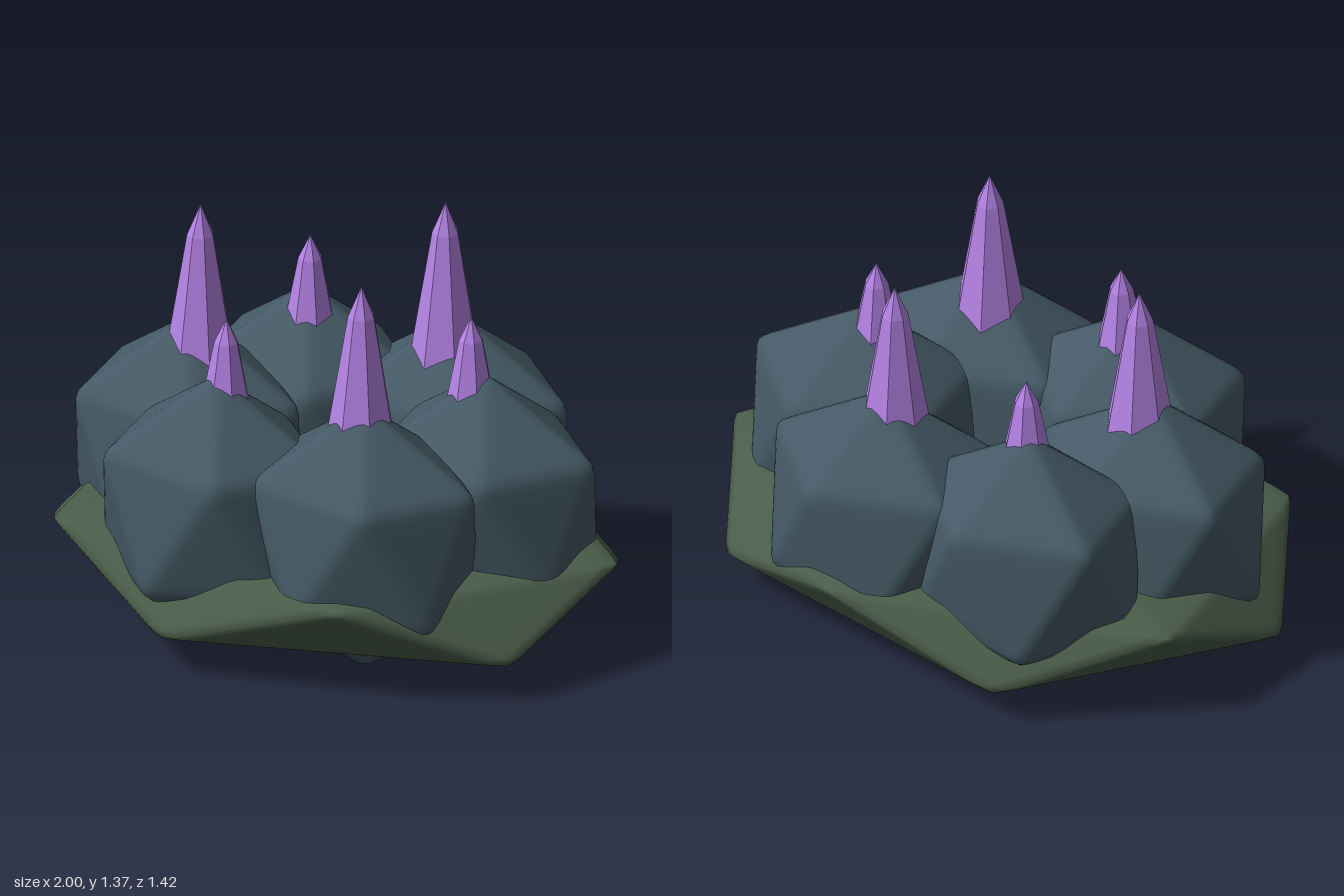
import * as THREE from 'three';
import { mergeVertices } from 'three/addons/utils/BufferGeometryUtils.js';

// Icosahedron standing on one corner, with a corner towards +x in the upper ring
function uprightIcosahedron(detail) {
  const geo = new THREE.IcosahedronGeometry(1, detail);
  geo.rotateZ(-Math.atan(2 / (1 + Math.sqrt(5))));
  return geo;
}

// Directions of the 20 facets
function facetNormals() {
  const pos = uprightIcosahedron(0).attributes.position;
  const normals = [];
  for (let i = 0; i < pos.count; i += 3) {
    const n = new THREE.Vector3();
    for (let k = 0; k < 3; k++) n.add(new THREE.Vector3().fromBufferAttribute(pos, i + k));
    normals.push(n.normalize());
  }
  return normals;
}

// Boulder with soft edges: a higher sharpness gives tighter edges
function boulderGeometry(rx, ry, rz, sharpness) {
  const facets = facetNormals();
  const radius = (dir) => {
    let sum = 0;
    for (const f of facets) sum += Math.pow(Math.max(0, dir.dot(f)), sharpness);
    return Math.pow(sum, -1 / sharpness);
  };
  const source = uprightIcosahedron(15);
  source.deleteAttribute('uv');
  source.deleteAttribute('normal');
  const geo = mergeVertices(source, 1e-4);
  const pos = geo.attributes.position;
  const corner = radius(new THREE.Vector3(0, 1, 0));
  const p = new THREE.Vector3();
  for (let i = 0; i < pos.count; i++) {
    p.fromBufferAttribute(pos, i).normalize();
    p.multiplyScalar(radius(p) / corner);
    pos.setXYZ(i, p.x, p.y, p.z);
  }
  geo.scale(rx, ry, rz);
  geo.computeVertexNormals();
  return geo;
}

// Faceted crystal: a tapering shaft with a short pointed tip
function spikeGeometry(profile) {
  return new THREE.LatheGeometry(profile.map(([r, y]) => new THREE.Vector2(r, y)), 7);
}

export function createModel() {
  const model = new THREE.Group();
  const moss = new THREE.MeshStandardMaterial({ color: 0x4a5d4a });
  const stone = new THREE.MeshStandardMaterial({ color: 0x455a66 });
  const crystal = new THREE.MeshStandardMaterial({ color: 0xb583e6, flatShading: true });

  const add = (name, geo, mat, x, y, z) => {
    const mesh = new THREE.Mesh(geo, mat);
    mesh.name = name;
    mesh.position.set(x, y, z);
    model.add(mesh);
    return mesh;
  };

  // Wide flat slab underneath
  add('baseSlab', boulderGeometry(1.118, 0.24, 0.83, 110), moss, 0, 0.24, 0);

  // Ring of six boulders, alternately carrying small and tall crystals
  const boulder = boulderGeometry(0.436, 0.47, 0.353, 55);
  const tall = spikeGeometry([[0, 0.75], [0.127, 0.75], [0.045, 1.255], [0, 1.365]]);
  const small = spikeGeometry([[0, 0.75], [0.1, 0.75], [0.04, 1.065], [0, 1.148]]);
  for (let i = 0; i < 6; i++) {
    const a = (i * Math.PI) / 3;
    const c = Math.cos(a), s = Math.sin(a);
    const isTall = i % 2 === 1;
    add('boulder', boulder, stone, 0.53 * c, 0.472, 0.43 * s);
    const spike = add(isTall ? 'tallCrystal' : 'smallCrystal', isTall ? tall : small, crystal,
      0.485 * c, 0, 0.392 * s);
    spike.rotation.y = Math.PI / 2;
  }
  return model;
}
